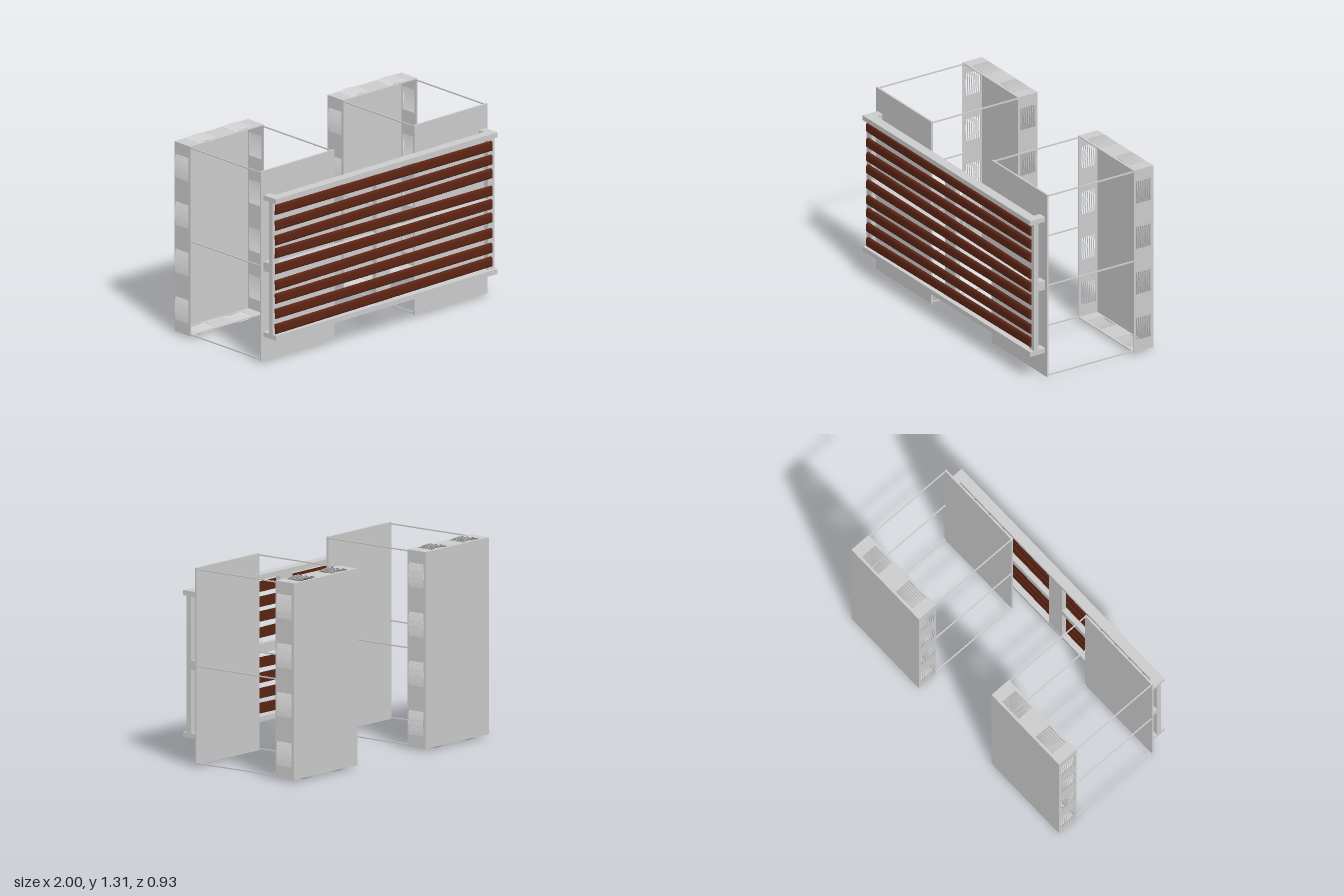
import * as THREE from 'three';

const grey = new THREE.MeshStandardMaterial({ color: 0xcccccc, side: THREE.DoubleSide });
const brown = new THREE.MeshStandardMaterial({ color: 0x5c2414 });

// Box given by its min and max corners
function box(parent, name, x0, x1, y0, y1, z0, z1) {
  const mesh = new THREE.Mesh(new THREE.BoxGeometry(x1 - x0, y1 - y0, z1 - z0), grey);
  mesh.position.set((x0 + x1) / 2, (y0 + y1) / 2, (z0 + z1) / 2);
  mesh.name = name;
  parent.add(mesh);
}

const W = 0.64, H = 1.28, D = 0.15, T = 0.006;
const VENT_L = 0.157, VENT_W = 0.115, BLADES = 7;

// Louvre blade, tilted and bowed gently outwards along its length
function bladeGeometry() {
  const g = new THREE.BoxGeometry(VENT_L, 0.019, 0.002, 10, 1, 1);
  g.rotateX(0.75);
  const p = g.attributes.position;
  for (let i = 0; i < p.count; i++) {
    const u = p.getX(i) / (VENT_L / 2);
    p.setZ(i, p.getZ(i) + 0.008 * (1 - u * u));
  }
  g.computeVertexNormals();
  return g;
}
const bladeShape = bladeGeometry();

// Wall with a row of louvred openings; local z points outwards
function ventedWall(name, length, count) {
  const wall = new THREE.Group();
  wall.name = name;
  const a = length / 2, b = D / 2;
  const shape = new THREE.Shape([[-a, -b], [a, -b], [a, b], [-a, b]].map(c => new THREE.Vector2(...c)));
  for (let i = 0; i < count; i++) {
    const c = (i + 0.5) * length / count - a, l = VENT_L / 2, w = VENT_W / 2;
    shape.holes.push(new THREE.Path([[c - l, -w], [c - l, w], [c + l, w], [c + l, -w]].map(q => new THREE.Vector2(...q))));
    for (let k = 0; k < BLADES; k++) {
      const blade = new THREE.Mesh(bladeShape, grey);
      blade.name = 'louvreBlade';
      blade.position.set(c, ((k + 0.5) / BLADES - 0.5) * VENT_W, 0);
      wall.add(blade);
    }
  }
  const panel = new THREE.Mesh(new THREE.ExtrudeGeometry(shape, { depth: T, bevelEnabled: false }), grey);
  panel.position.z = -T;
  panel.name = 'wallPanel';
  wall.add(panel);
  return wall;
}

// Shallow cabinet, open to the front, with a front panel held on thin rods
function createUnit() {
  const unit = new THREE.Group();
  const yc = 0.015 + H / 2, zc = -0.39;
  const X = new THREE.Vector3(1, 0, 0), Y = new THREE.Vector3(0, 1, 0), Z = new THREE.Vector3(0, 0, 1);
  const place = (wall, ax, ay, az, x, y) => {
    wall.quaternion.setFromRotationMatrix(new THREE.Matrix4().makeBasis(ax, ay, az));
    wall.position.set(x, y, zc);
    unit.add(wall);
  };
  const nX = X.clone().negate(), nY = Y.clone().negate(), nZ = Z.clone().negate();
  place(ventedWall('leftWall', H, 4), Y, Z, X, W / 2, yc);
  place(ventedWall('rightWall', H, 4), Y, nZ, nX, -W / 2, yc);
  place(ventedWall('topWall', W, 2), X, nZ, Y, 0, yc + H / 2);
  place(ventedWall('bottomWall', W, 2), X, Z, nY, 0, yc - H / 2);
  box(unit, 'backPanel', -W / 2, W / 2, 0.015, 1.295, -0.465, -0.459);
  box(unit, 'frontPanel', -0.318, 0.318, 0.015, 1.295, 0.337, 0.35);

  // Spacer rods on both sides at three heights
  for (const x of [-0.313, 0.313])
    for (const y of [0.025, 0.655, 1.285])
      box(unit, 'spacerRod', x - 0.004, x + 0.004, y - 0.004, y + 0.004, -0.318, 0.34);
  return unit;
}

// Frame carrying the timber slats
function createScreen() {
  const screen = new THREE.Group();
  screen.name = 'slatScreen';
  const E = 0.963;
  box(screen, 'topRail', -E, E, 1.1, 1.133, 0.398, 0.465);
  box(screen, 'bottomRail', -E, E, 0.178, 0.211, 0.398, 0.465);
  box(screen, 'middleRail', -E + 0.058, E - 0.058, 0.622, 0.685, 0.4, 0.435);
  for (const x of [-0.934, 0, 0.934]) {
    const h = x ? 0.029 : 0.062;
    box(screen, 'post', x - h, x + h, 0.211, 1.1, 0.4, 0.435);
  }
  for (const x of [-0.934, 0.934])
    for (const [y0, y1] of [[0.178, 0.211], [0.622, 0.685], [1.1, 1.133]])
      box(screen, 'bracket', x - 0.029, x + 0.029, y0, y1, 0.349, 0.4);

  // Round-edged slats, each slightly out of level: height at either end
  const s = new THREE.Shape();
  s.moveTo(0, -0.034);
  s.quadraticCurveTo(-0.017, -0.034, -0.017, -0.014);
  s.lineTo(-0.017, 0.014);
  s.quadraticCurveTo(-0.017, 0.034, 0, 0.034);
  s.closePath();
  const length = 1.876;
  const slat = new THREE.ExtrudeGeometry(s, { depth: length, bevelEnabled: false, curveSegments: 6 });
  slat.translate(0, 0, -length / 2).rotateY(Math.PI / 2);
  const ends = [[1.05, 1.043], [0.943, 0.95], [0.843, 0.858], [0.757, 0.74], [0.65, 0.65],
    [0.54, 0.56], [0.45, 0.455], [0.348, 0.355], [0.245, 0.263]];
  for (const [a, b] of ends) {
    const mesh = new THREE.Mesh(slat, brown);
    mesh.name = 'slat';
    mesh.position.set(-0.006, (a + b) / 2, 0.435);
    mesh.rotation.z = Math.atan2(b - a, length);
    screen.add(mesh);
  }
  return screen;
}

export function createModel() {
  const model = new THREE.Group();
  model.name = 'louvredCabinetsWithScreen';
  for (const side of [1, -1]) {
    const unit = createUnit();
    unit.name = side > 0 ? 'leftCabinet' : 'rightCabinet';
    unit.position.x = side * 0.665;
    model.add(unit);
  }
  model.add(createScreen());
  return model;
}
